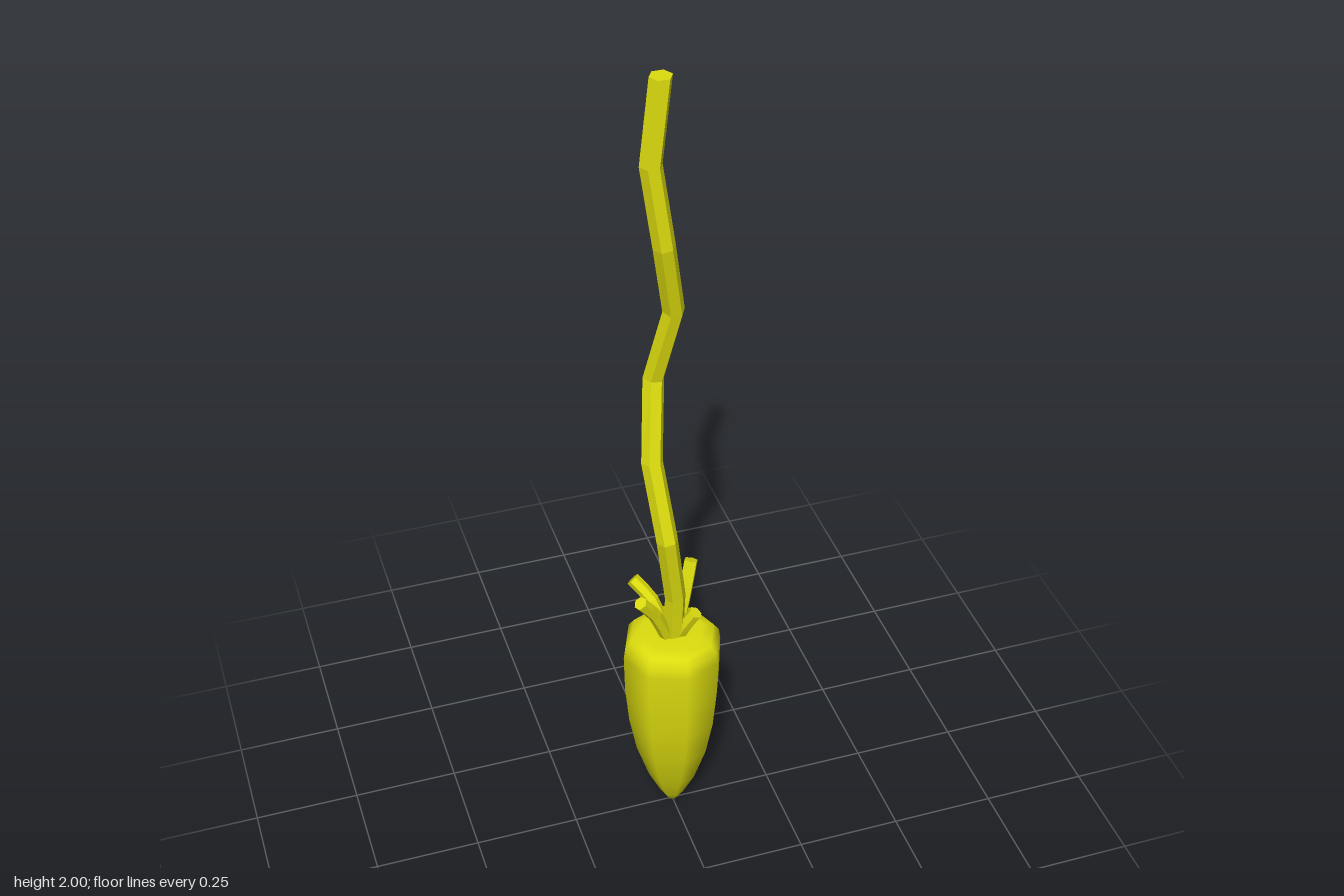
import * as THREE from 'three';

const yellow = new THREE.MeshStandardMaterial({ color: 0xdddd0f });
yellow.name = 'yellow';
const yellowFacets = yellow.clone();
yellowFacets.flatShading = true;

// Six-sided closed rod whose rings follow a list of points
function rod(name, coords, radius, levelEnd) {
  const pts = coords.map((p) => new THREE.Vector3(...p));
  const n = pts.length - 1;
  const up = new THREE.Vector3(0, 1, 0);
  const turns = pts.map((p, i) => {
    const dir = pts[Math.min(i + 1, n)].clone().sub(pts[Math.max(i - 1, 0)]).normalize();
    if (levelEnd && i === n) dir.copy(up);
    return new THREE.Quaternion().setFromUnitVectors(up, dir);
  });
  const geo = new THREE.CylinderGeometry(radius, radius, 1, 6, n).rotateY(Math.PI / 2);
  const pos = geo.attributes.position;
  const v = new THREE.Vector3();
  for (let i = 0; i < pos.count; i++) {
    v.fromBufferAttribute(pos, i);
    const k = Math.round((v.y + 0.5) * n);
    v.setY(0).applyQuaternion(turns[k]).add(pts[k]);
    pos.setXYZ(i, v.x, v.y, v.z);
  }
  geo.computeVertexNormals();
  const mesh = new THREE.Mesh(geo, yellowFacets);
  mesh.name = name;
  return mesh;
}

export function createModel() {
  const group = new THREE.Group();
  group.name = 'rootOnString';

  // Tapered eight-sided root with a rounded shoulder
  const profile = [
    [0, 0], [0.014, 0.008], [0.03, 0.035], [0.06, 0.1], [0.091, 0.2], [0.109, 0.3],
    [0.118, 0.4], [0.12, 0.5], [0.116, 0.528], [0.102, 0.548], [0.075, 0.557], [0, 0.557],
  ].map(([r, y]) => new THREE.Vector2(r, y));
  const root = new THREE.Mesh(new THREE.LatheGeometry(profile, 8), yellow);
  root.name = 'root';
  group.add(root);

  // Long crooked string
  group.add(rod('string', [
    [0, 0.53, 0.005], [0, 0.68, 0.022], [-0.027, 0.87, 0.046], [-0.046, 1.06, -0.003],
    [-0.026, 1.25, -0.053], [0.008, 1.44, -0.016], [-0.023, 1.62, 0.017],
    [-0.049, 1.81, 0.012], [-0.025, 2, 0.005],
  ], 0.025, true));

  // Cut leaf stalks curving outwards: base, middle and tip
  const stalks = [
    [[-0.012, 0.54, 0.01], [-0.05, 0.638, 0.027], [-0.09, 0.698, 0.042]],
    [[-0.012, 0.54, -0.01], [-0.036, 0.625, -0.043], [-0.072, 0.67, -0.078]],
    [[0.01, 0.54, 0.008], [0.024, 0.59, 0.026], [0.044, 0.632, 0.039]],
    [[0.01, 0.54, -0.004], [0.034, 0.635, -0.016], [0.059, 0.725, -0.04]],
  ];
  stalks.forEach(([a, b, c], i) => {
    const curve = new THREE.CatmullRomCurve3([a, b, c].map((p) => new THREE.Vector3(...p)));
    const path = curve.getPoints(4).map((p) => p.toArray());
    group.add(rod('stalk' + (i + 1), path, 0.0165, false));
  });

  return group;
}
